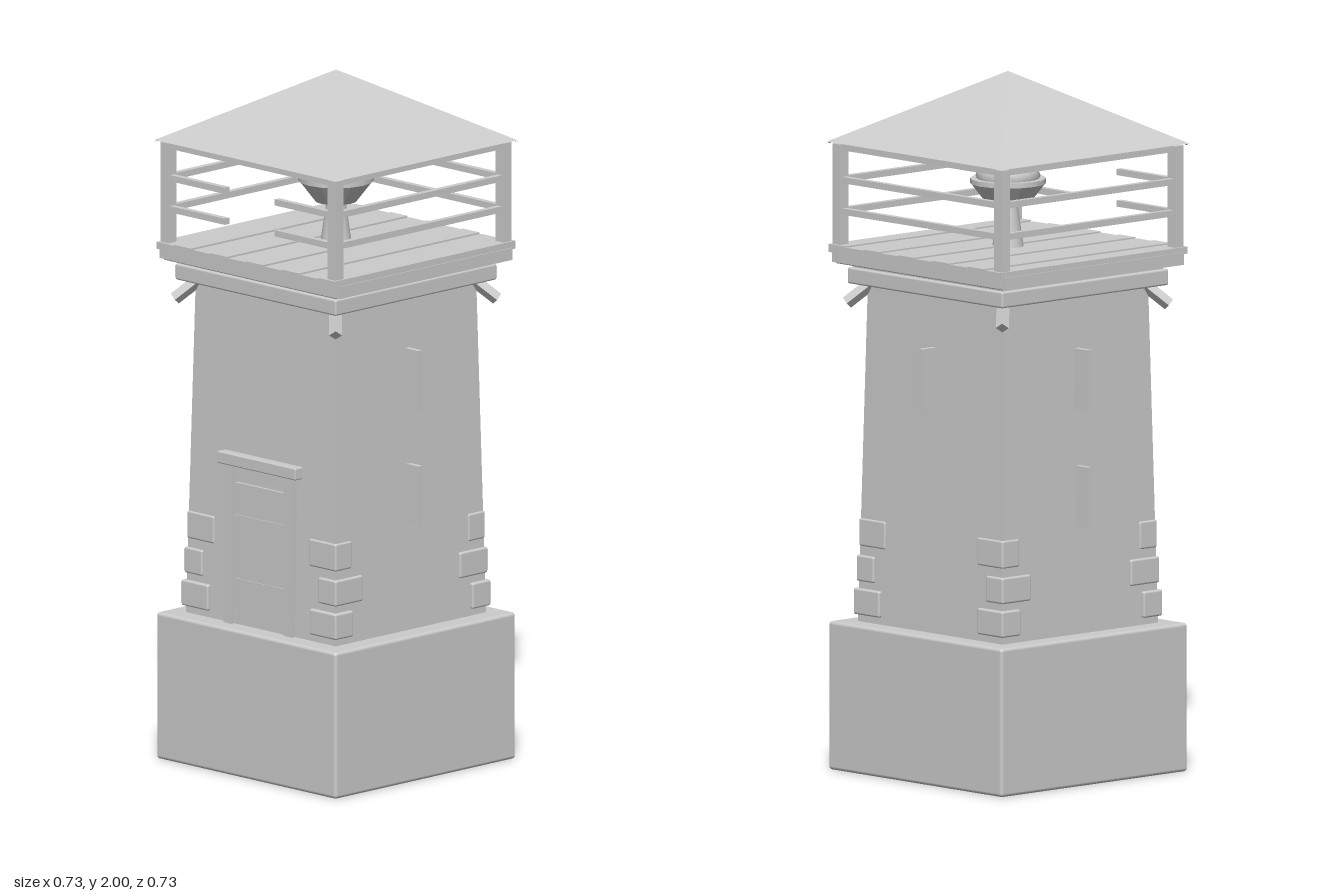
import * as THREE from 'three';
import { RoundedBoxGeometry } from 'three/addons/geometries/RoundedBoxGeometry.js';

export function createModel() {
  const model = new THREE.Group();
  model.name = 'watchtower';
  const grey = new THREE.MeshStandardMaterial({ color: 0xcccccc });
  grey.name = 'plain grey';
  const greyFlat = grey;

  const add = (name, geometry, parent = model) => {
    const mesh = new THREE.Mesh(geometry, greyFlat);
    mesh.name = name;
    parent.add(mesh);
    return mesh;
  };
  // Box given by its lower and upper corners, with an optional rounded edge
  const block = (name, [x0, y0, z0], [x1, y1, z1], r = 0, parent = model) => {
    const s = [Math.abs(x1 - x0), y1 - y0, Math.abs(z1 - z0)];
    const mesh = add(name, r ? new RoundedBoxGeometry(...s, 2, r) : new THREE.BoxGeometry(...s), parent);
    mesh.position.set((x0 + x1) / 2, (y0 + y1) / 2, (z0 + z1) / 2);
    return mesh;
  };
  // Square frustum from half-widths
  const frustum = (bottom, top, h) => new THREE.CylinderGeometry(
    top * Math.SQRT2, bottom * Math.SQRT2, h, 4).rotateY(Math.PI / 4).toNonIndexed();
  const flat = (g) => { g.computeVertexNormals(); return g; };

  // Plinth and tapering tower
  block('plinth', [-0.36, 0, -0.36], [0.36, 0.425, 0.36], 0.01);
  add('towerBody', flat(frustum(0.30, 0.28, 0.98))).position.y = 0.42 + 0.49;

  // Alternating corner stones
  for (const sx of [-1, 1]) for (const sz of [-1, 1]) {
    const stones = [
      [0.445, 0.52, 0.31, 0.203, 0.237],
      [0.54, 0.615, 0.304, 0.232, 0.193],
      [0.64, 0.72, 0.2985, 0.19, 0.232],
    ];
    for (const [y0, y1, out, inX, inZ] of stones)
      block('cornerStone', [sx * inX, y0, sz * inZ], [sx * out, y1, sz * out], 0.006);
  }

  // Door with frame, lintel and cross bands
  const door = new THREE.Group();
  door.name = 'door';
  model.add(door);
  block('doorPanel', [-0.1, 0.425, 0.27], [0.1, 0.835, 0.301], 0, door);
  block('doorHeader', [-0.105, 0.845, 0.27], [0.105, 0.885, 0.298], 0, door);
  for (const y of [0.55, 0.735])
    block('doorBand', [-0.098, y - 0.008, 0.29], [0.098, y + 0.008, 0.304], 0, door);
  for (const s of [-1, 1])
    block('doorPost', [s * 0.105, 0.425, 0.27], [s * 0.137, 0.89, 0.313], 0, door);
  block('lintel', [-0.157, 0.885, 0.27], [0.157, 0.92, 0.319], 0.004, door);

  // Slit windows: two on each side and one at the back
  for (const s of [-1, 1]) for (const y of [0.73, 1.065])
    block('slitWindow', [s * 0.27, y, -0.008], [s * 0.338, y + 0.175, 0.008]);
  block('slitWindow', [-0.008, 1.065, -0.338], [0.008, 1.24, -0.27]);

  // Collar, joists and plank deck
  block('collar', [-0.322, 1.39, -0.322], [0.322, 1.437, 0.322], 0.006);
  block('deckSupport', [-0.31, 1.43, -0.31], [0.31, 1.48, 0.31]);
  for (const s of [-1, 1]) {
    block('joist', [-0.345, 1.447, s * 0.305], [0.345, 1.482, s * 0.345], 0.004);
    block('edgeBeam', [s * 0.343, 1.45, -0.345], [s * 0.36, 1.485, 0.345]);
  }
  const planks = 10, pitch = 0.72 / planks;
  for (let i = 0; i < planks; i++) {
    const x = -0.36 + i * pitch;
    block('plank', [x + 0.003, 1.48, -0.36], [x + pitch - 0.003, i % 2 ? 1.503 : 1.5, 0.36]);
  }

  // Diagonal struts below the corners
  const up = new THREE.Vector3(0, 1, 0);
  for (const sx of [-1, 1]) for (const sz of [-1, 1]) {
    const a = new THREE.Vector3(sx * 0.26, 1.405, sz * 0.26);
    const b = new THREE.Vector3(sx * 0.322, 1.335, sz * 0.322);
    const strut = add('cornerStrut', new THREE.BoxGeometry(0.026, a.distanceTo(b), 0.026));
    strut.position.addVectors(a, b).multiplyScalar(0.5);
    strut.quaternion.setFromUnitVectors(up, b.clone().sub(a).normalize());
  }

  // Roof posts and railings; the front railing has an opening
  for (const sx of [-1, 1]) for (const sz of [-1, 1])
    block('roofPost', [sx * 0.319, 1.5, sz * 0.319], [sx * 0.351, 1.79, sz * 0.351]);
  for (const y of [1.598, 1.688, 1.782]) {
    const lo = y - 0.009, hi = y + 0.009;
    for (const s of [-1, 1]) {
      block('sideRail', [s * 0.326, lo, -0.32], [s * 0.344, hi, 0.32]);
      if (y < 1.7) block('frontRail', [s * 0.1, lo, 0.326], [s * 0.32, hi, 0.344]);
    }
    block('backRail', [-0.32, lo, -0.344], [0.32, hi, -0.326]);
    if (y > 1.7) block('frontTopRail', [-0.32, lo, 0.326], [0.32, hi, 0.344]);
  }

  // Hollow pyramid roof: outer shell and inward-facing lining
  const cone = () => flat(new THREE.ConeGeometry(0.363 * Math.SQRT2, 0.205, 4, 1, true)
    .rotateY(Math.PI / 4).toNonIndexed());
  add('roof', cone()).position.y = 1.795 + 0.1025;
  const lining = add('roofLining', cone().scale(-1, 1, 1));
  const p = lining.geometry.attributes.position;
  for (let i = 0; i < p.count; i++) p.setY(i, p.getY(i) - 0.005);
  lining.geometry.computeVertexNormals();
  lining.position.y = 1.795 + 0.1025;

  // Brazier: pedestal, bowl, ember mound and stubs
  const brazier = new THREE.Group();
  brazier.name = 'brazier';
  model.add(brazier);
  const lathe = (name, pts, n) => {
    const g = new THREE.LatheGeometry(pts.map(([r, y]) => new THREE.Vector2(r, y)), n);
    return add(name, g, brazier);
  };
  add('pedestal', new THREE.CylinderGeometry(0.026, 0.045, 0.13, 16), brazier).position.y = 1.56;
  add('bowl', flat(new THREE.CylinderGeometry(0.108, 0.06, 0.062, 16).toNonIndexed()), brazier).position.y = 1.651;
  add('bowlRim', new THREE.CylinderGeometry(0.108, 0.108, 0.014, 16), brazier).position.y = 1.687;
  lathe('emberMound', [[0.085, 1.685], [0.092, 1.703], [0.085, 1.722], [0.062, 1.738], [0.03, 1.746], [0, 1.748]], 16);
  for (let i = 0; i < 5; i++) {
    const a = i * Math.PI * 2 / 5;
    const stub = add('stub', new THREE.CylinderGeometry(0.009, 0.012, 0.04, 6), brazier);
    stub.position.set(Math.cos(a) * 0.026, 1.757, Math.sin(a) * 0.026);
    stub.rotation.set(Math.sin(a) * 0.4, 0, -Math.cos(a) * 0.4);
  }
  return model;
}
